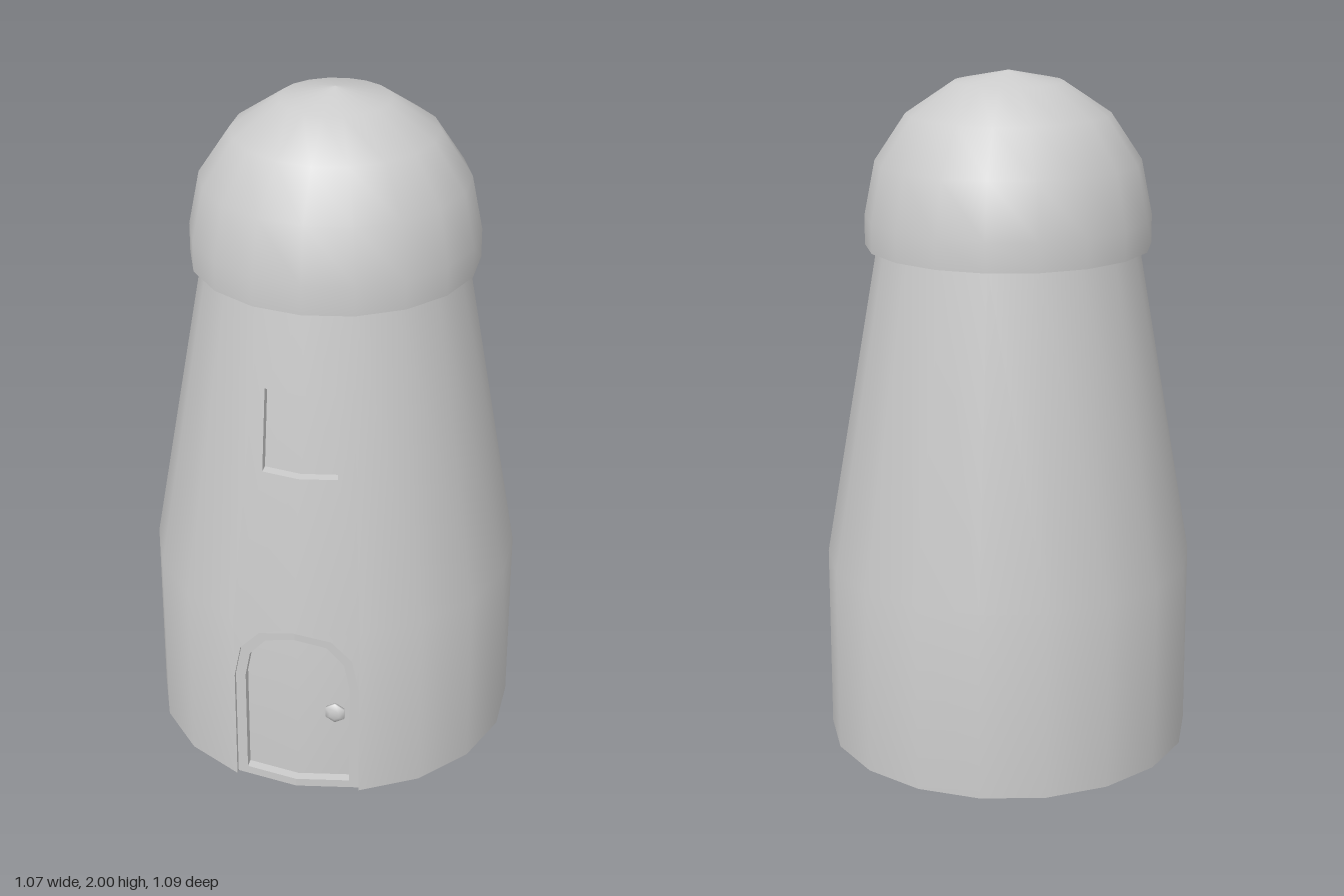
import * as THREE from 'three';

const SIDES = 18;
const STEP = (Math.PI * 2) / SIDES;
const BEND = Math.tan(STEP / 2); // the two front facets fall back from x = 0
const BASE_R = 0.543, TOP_R = 0.38, KNEE = 0.56, TOP = 1.5;

const material = new THREE.MeshStandardMaterial({ color: 0xcccccc, side: THREE.DoubleSide });

const v2 = (list) => list.map(([x, y]) => new THREE.Vector2(x, y));
const radiusAt = (y) =>
  y <= KNEE ? BASE_R : THREE.MathUtils.mapLinear(y, KNEE, TOP, BASE_R, TOP_R);
const frontZ = (x, y) => radiusAt(y) - Math.abs(x) * BEND;

function add(parent, name, geometry) {
  const mesh = new THREE.Mesh(geometry, material);
  mesh.name = name;
  parent.add(mesh);
  return mesh;
}

const halfShape = (points, side) => new THREE.Shape(v2(points.map(([x, y]) => [x * side, y])));

// Half of a front panel, laid on the tower facet and set back by inset, shaded round
function panel(points, inset, side) {
  const geometry = new THREE.ShapeGeometry(halfShape(points, side));
  const { position, normal } = geometry.attributes;
  const n = new THREE.Vector3();
  for (let i = 0; i < position.count; i++) {
    const x = position.getX(i), y = position.getY(i);
    const z = frontZ(x, y);
    const rise = y <= KNEE ? (0.087 * y) / KNEE
      : THREE.MathUtils.mapLinear(y, KNEE, TOP, 0.087, 0.173);
    n.set(x, rise * Math.hypot(x, z), z).normalize();
    position.setZ(i, z - inset);
    normal.setXYZ(i, n.x, n.y, n.z);
  }
  return geometry;
}

// Strip from the edge of an opening straight back into the wall
function reveal(points, depth, side) {
  const corners = [];
  for (let i = 0; i < points.length - 1; i++) {
    const [a, b] = [points[i], points[i + 1]].map(([x, y]) => [x * side, y, frontZ(x, y)]);
    const [c, d] = [a, b].map(([x, y, z]) => [x, y, z - depth]);
    const quad = side > 0 ? [a, c, b, b, c, d] : [a, b, c, b, d, c];
    corners.push(...quad.flat());
  }
  const geometry = new THREE.BufferGeometry();
  geometry.setAttribute('position', new THREE.Float32BufferAttribute(corners, 3));
  geometry.computeVertexNormals();
  return geometry;
}

// Half of a solid bar outline, bent to follow the front facets
function bentSolid(points, zBack, depth, side) {
  const geometry = new THREE.ExtrudeGeometry(halfShape(points, side), { depth, bevelEnabled: false });
  const p = geometry.attributes.position;
  for (let i = 0; i < p.count; i++) p.setZ(i, p.getZ(i) + zBack - Math.abs(p.getX(i)) * BEND);
  geometry.computeVertexNormals();
  return geometry;
}

export function createModel() {
  const model = new THREE.Group();
  model.name = 'tower';

  // Tower wall, all round except the two front facets
  const wallProfile = v2([[BASE_R, 0], [BASE_R, KNEE], [TOP_R, TOP]]);
  add(model, 'wall', new THREE.LatheGeometry(wallProfile, SIDES - 2, STEP, STEP * (SIDES - 2)));

  // Right half outlines of the openings
  const edge = BASE_R * Math.sin(STEP);
  const arch = [[edge, 0.36], [0.165, 0.465], [0.106, 0.53], [0, 0.557]];
  const innerArch = [[0.155, 0.36], [0.14, 0.44], [0.09, 0.5], [0, 0.525]];
  const winX = 0.108, winLow = 1.02, winHigh = 1.26;
  const windowEdge = [[0, winLow], [winX, winLow], [winX, winHigh], [0, winHigh]];

  const door = new THREE.Group();
  door.name = 'door';
  const window = new THREE.Group();
  window.name = 'window';
  model.add(door, window);

  for (const side of [1, -1]) {
    // Front wall around the door arch and the window
    add(model, 'wallAboveDoor', panel([...arch, [0, KNEE], [edge, KNEE]], 0, side));
    add(model, 'wallAroundWindow', panel([
      [0, KNEE], [edge, KNEE], [TOP_R * Math.sin(STEP), TOP], [0, TOP],
      ...[...windowEdge].reverse(),
    ], 0, side));

    // Door frame with sill, and the leaf set back inside it
    add(door, 'doorReveal', reveal([[edge, 0], ...arch], 0.014, side));
    add(door, 'doorFrame', bentSolid([
      [0, 0], [edge, 0], ...arch,
      ...[...innerArch].reverse(), [0.155, 0.025], [0, 0.025],
    ], 0.469, 0.06, side));
    add(door, 'doorLeaf', panel([[0, 0.02], [0.157, 0.02], ...innerArch], 0.043, side));

    // Recessed window
    add(window, 'windowReveal', reveal(windowEdge, 0.03, side));
    add(window, 'windowPane', panel(windowEdge, 0.03, side));
  }

  // Six-sided knob on both faces of the door
  const knobProfile = v2([[0.012, 0], [0.012, 0.008], [0.032, 0.014], [0.032, 0.022], [0.016, 0.031], [0, 0.031]]);
  for (const face of [1, -1]) {
    const knob = add(door, 'doorKnob', new THREE.LatheGeometry(knobProfile, 6));
    knob.position.set(0.112, 0.265, frontZ(0.112, 0.265) - 0.043);
    knob.rotation.set((face * Math.PI) / 2, 0, 0);
  }

  // Domed cap with a short upright rim
  const capR = 0.415, domeY = 1.585;
  const capProfile = [[capR, TOP]];
  for (let i = 0; i <= 4; i++) {
    const a = (i * Math.PI) / 8;
    capProfile.push([capR * Math.cos(a), domeY + capR * Math.sin(a)]);
  }
  add(model, 'domeCap', new THREE.LatheGeometry(v2(capProfile), SIDES));
  add(model, 'capUnderside', new THREE.LatheGeometry(v2([[TOP_R, TOP], [capR, TOP]]), SIDES));

  return model;
}
